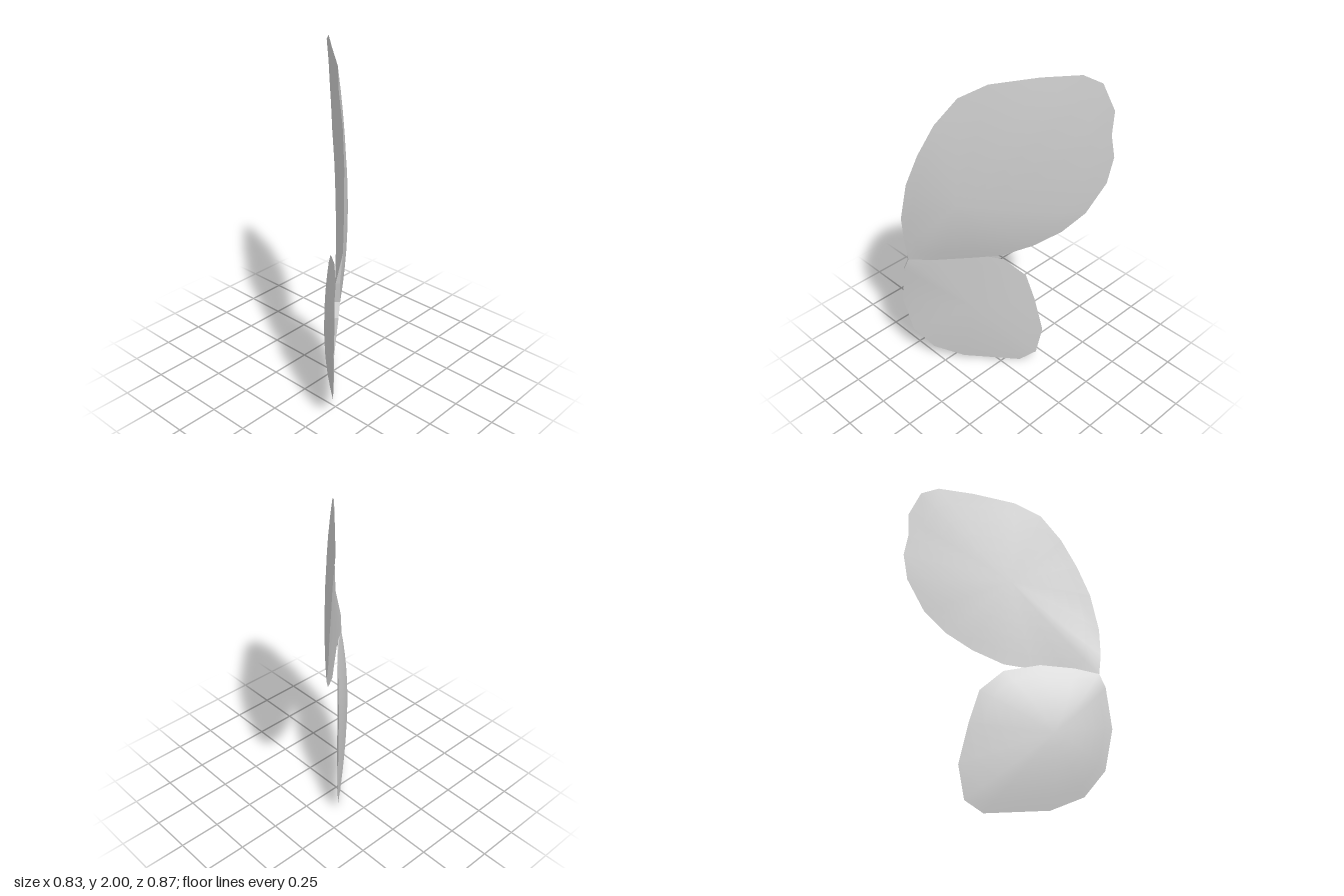
import * as THREE from 'three';

// Rim points, counter-clockwise from the front: x, y, z, half thickness of the rim
const UPPER_RIM = [
  [0.38, 0.83, 0.378, 0.015], [0.392, 0.95, 0.388, 0.011], [0.415, 1.13, 0.375, 0],
  [0.39, 1.36, 0.34, 0], [0.34, 1.55, 0.286, 0], [0.27, 1.73, 0.222, 0],
  [0.17, 1.88, 0.143, 0], [0.06, 1.96, 0.03, 0], [-0.14, 1.99, -0.14, 0],
  [-0.30, 2.0, -0.286, 0], [-0.38, 1.95, -0.355, 0], [-0.42, 1.8, -0.413, 0],
  [-0.41, 1.66, -0.413, 0], [-0.42, 1.53, -0.434, 0], [-0.395, 1.37, -0.418, 0],
  [-0.31, 1.18, -0.355, 0], [-0.22, 1.05, -0.265, 0], [-0.11, 0.95, -0.153, 0],
  [0.01, 0.87, -0.02, 0], [0.12, 0.85, 0.095, 0], [0.27, 0.832, 0.25, 0.004],
];
const LOWER_RIM = [
  [0.38, 0.83, 0.378, 0.015], [0.28, 0.86, 0.28, 0.004], [0.14, 0.87, 0.14, 0],
  [-0.02, 0.815, 0, 0], [-0.12, 0.69, -0.09, 0], [-0.16, 0.5, -0.13, 0],
  [-0.195, 0.26, -0.168, 0], [-0.17, 0.07, -0.143, 0], [-0.095, 0.005, -0.074, 0],
  [0.15, 0.03, 0.18, 0], [0.285, 0.11, 0.31, 0], [0.37, 0.26, 0.397, 0],
  [0.405, 0.5, 0.434, 0], [0.4, 0.75, 0.405, 0.01],
];
const RINGS = 6;

function geometryFrom(positions, indices) {
  const g = new THREE.BufferGeometry();
  g.setAttribute('position', new THREE.Float32BufferAttribute(positions, 3));
  g.setIndex(indices);
  g.computeVertexNormals();
  return g;
}

// Rim moved along the wing normal to the front (side 1) or back (side -1)
function rimSide(rim, side) {
  const k = side * Math.SQRT1_2;
  return rim.map(([x, y, z, h]) => [x - h * k, y, z + h * k]);
}

// Gently domed skin: rings shrinking from the rim towards the apex
function skin(rim, apex, side) {
  const pts = rimSide(rim, side), n = pts.length;
  const pos = [], idx = [];
  const tri = (a, b, c) => (side > 0 ? idx.push(a, b, c) : idx.push(a, c, b));
  for (let r = 0; r < RINGS; r++) {
    const t = 1 - r / RINGS;
    for (const [x, y, z] of pts) {
      const px = apex[0] + (x - apex[0]) * t;
      const depth = THREE.MathUtils.lerp(apex[2] - apex[0], z - x, t * t);
      pos.push(px, apex[1] + (y - apex[1]) * t, px + depth);
    }
  }
  pos.push(...apex);
  for (let r = 0; r < RINGS; r++) {
    for (let i = 0; i < n; i++) {
      const a = r * n + i, b = r * n + (i + 1) % n;
      if (r === RINGS - 1) tri(a, b, RINGS * n);
      else {
        tri(a, b, b + n);
        tri(a, b + n, a + n);
      }
    }
  }
  return geometryFrom(pos, idx);
}

// Narrow edge joining the front and back skins where the rim has thickness
function edge(rim) {
  const f = rimSide(rim, 1), b = rimSide(rim, -1), pos = [], idx = [];
  rim.forEach((p, i) => {
    const j = (i + 1) % rim.length;
    if (p[3] + rim[j][3] === 0) return;
    const k = pos.length / 3;
    pos.push(...f[i], ...b[i], ...b[j], ...f[j]);
    idx.push(k, k + 1, k + 2, k, k + 2, k + 3);
  });
  return geometryFrom(pos, idx);
}

export function createModel() {
  const model = new THREE.Group();
  model.name = 'wing';
  const paleGrey = new THREE.MeshStandardMaterial({ color: 0xcccccc });
  paleGrey.name = 'paleGrey';

  function lobe(name, rim, frontApex, backApex) {
    const group = new THREE.Group();
    group.name = name;
    const add = (part, geometry) => {
      const mesh = new THREE.Mesh(geometry, paleGrey);
      mesh.name = name + part;
      group.add(mesh);
    };
    add('Front', skin(rim, frontApex, 1));
    add('Back', skin(rim, backApex, -1));
    add('Edge', edge(rim));
    model.add(group);
  }

  lobe('upperWing', UPPER_RIM, [0.03, 1.4, 0.015], [0.22, 1.25, 0.125]);
  lobe('lowerWing', LOWER_RIM, [0.14, 0.45, 0.225], [0.12, 0.45, 0.125]);
  return model;
}
